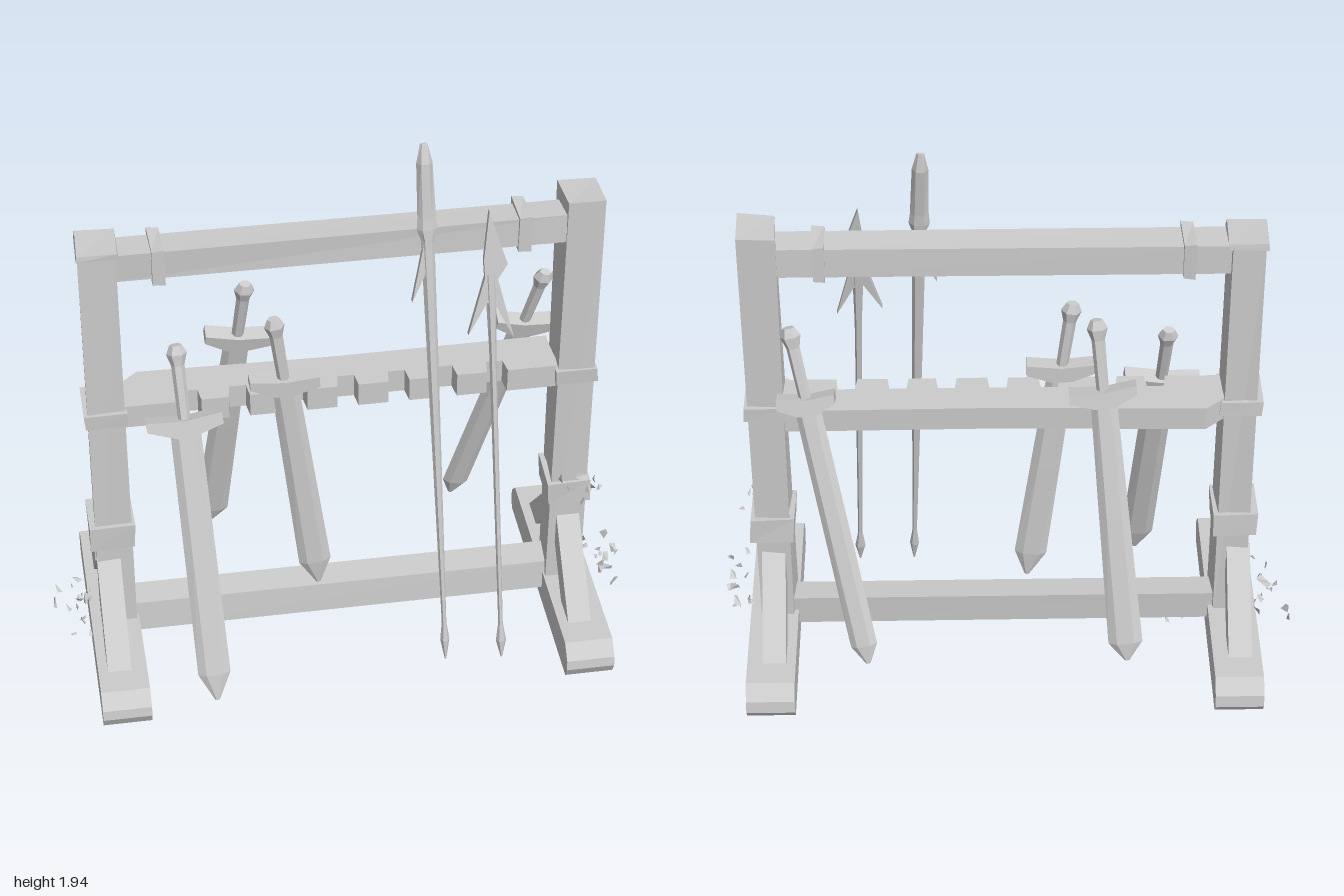
import * as THREE from 'three';

const grey = new THREE.MeshStandardMaterial({ color: 0xcccccc, flatShading: true, side: THREE.DoubleSide });

// Small seeded generator
let seed = 7;
const rand = () => (seed = (seed * 16807) % 2147483647) / 2147483647;
const range = (a, b) => a + (b - a) * rand();

function mesh(parent, name, geometry) {
  const m = new THREE.Mesh(geometry, grey);
  m.name = name;
  parent.add(m);
  return m;
}

// Hand-hewn timber: a box given by its extents, corners nudged slightly
function timber(parent, name, [x0, x1], [y0, y1], [z0, z1], rough = 0.005) {
  const g = new THREE.BoxGeometry(x1 - x0, y1 - y0, z1 - z0);
  g.translate((x0 + x1) / 2, (y0 + y1) / 2, (z0 + z1) / 2);
  const p = g.attributes.position;
  for (let i = 0; i < p.count; i++) {
    const x = p.getX(i), y = p.getY(i), z = p.getZ(i);
    const n = (k) => rough * Math.sin(k * (37 * x + 53 * y + 71 * z));
    p.setXYZ(i, x + n(1), Math.max(0, y + n(2.3)), z + n(3.7));
  }
  return mesh(parent, name, g);
}

// Flat outline with thickness, centred on its depth
function slab(points, depth) {
  const shape = new THREE.Shape(points.map(([x, y]) => new THREE.Vector2(x, y)));
  return new THREE.ExtrudeGeometry(shape, { depth, bevelEnabled: false }).translate(0, 0, -depth / 2);
}

// Six-sided loft along y; stations are [y, halfWidth, halfDepth, xShift]
function loft(stations) {
  const ring = [[1, 0], [0.5, 1], [-0.5, 1], [-1, 0], [-0.5, -1], [0.5, -1]];
  const pos = [], idx = [], n = ring.length, last = (stations.length - 1) * n;
  for (const [y, w, d, dx = 0] of stations)
    for (const [x, z] of ring) pos.push(dx + x * w, y, z * d);
  for (let i = 0; i < last; i += n)
    for (let j = 0; j < n; j++) {
      const a = i + j, b = i + (j + 1) % n;
      idx.push(a, a + n, b, b, a + n, b + n);
    }
  for (let j = 1; j < n - 1; j++) idx.push(0, j, j + 1, last, last + j + 1, last + j);
  const g = new THREE.BufferGeometry();
  g.setAttribute('position', new THREE.Float32BufferAttribute(pos, 3));
  g.setIndex(idx);
  g.computeVertexNormals();
  return g;
}

// Group whose local y runs from tip to top, flat side towards the front
function leaning(parent, name, top, tip) {
  const t = new THREE.Vector3(...top), o = new THREE.Vector3(...tip);
  const y = t.clone().sub(o).normalize();
  const x = y.clone().cross(new THREE.Vector3(0, 0, 1)).normalize();
  const g = new THREE.Group();
  g.quaternion.setFromRotationMatrix(new THREE.Matrix4().makeBasis(x, y, x.clone().cross(y)));
  g.position.copy(o);
  g.name = name;
  parent.add(g);
  return [g, t.distanceTo(o)];
}

function sword(parent, name, top, tip, { w0, w1, guard = 0.22, hilt = 0.27, tilt = 0, point = 0.1 }) {
  const [g, L] = leaning(parent, name, top, tip);
  const h = L - hilt;
  mesh(g, 'blade', loft([[0, 0.008, 0.004], [point, w1 / 2, 0.016], [h * 0.55, (w0 + w1) / 4, 0.018], [h, w0 / 2, 0.018]]));
  mesh(g, 'grip', loft([[h, 0.02, 0.014], [L - 0.07, 0.022, 0.016], [L - 0.03, 0.034, 0.024], [L, 0.02, 0.014]]));
  const bar = mesh(g, 'guard', slab([[-guard / 2, 0.005], [-guard / 2, 0.038], [0, 0.022], [guard / 2, 0.03],
    [guard / 2, -0.01], [0.03, -0.035], [-0.03, -0.035]], 0.055));
  bar.position.y = h;
  bar.rotation.z = tilt;
}

function shards(parent, name, count, [x0, x1], [y0, y1], [z0, z1]) {
  for (let i = 0; i < count; i++) {
    const s = mesh(parent, name, new THREE.TetrahedronGeometry(range(0.012, 0.026)));
    s.scale.set(1.3, 0.8, 0.3);
    s.rotation.set(range(0, 6), range(0, 6), range(0, 6));
    s.position.set(range(x0, x1), range(y0, y1), range(z0, z1));
  }
}

export function createModel() {
  const rack = new THREE.Group();
  rack.name = 'weaponRack';

  // Feet, posts, bands and braces on each side
  const sides = [
    { post: [-0.825, -0.71], foot: -0.78, top: 1.64, low: [-0.845, -0.695] },
    { post: [0.735, 0.855], foot: 0.807, top: 1.69, low: [0.722, 0.872] },
  ];
  for (const { post, foot, top, low } of sides) {
    const end = new THREE.Group();
    end.name = 'endFrame';
    rack.add(end);
    const f = mesh(end, 'foot', slab([[-0.45, 0], [0.45, 0], [0.47, 0.04], [0.465, 0.075], [0.42, 0.122],
      [-0.42, 0.122], [-0.465, 0.075], [-0.47, 0.03]], 0.165));
    f.rotation.y = -Math.PI / 2;
    f.position.x = foot;
    timber(end, 'post', post, [0.08, top], [-0.07, 0.07]);
    timber(end, 'lowerBand', low, [0.46, 0.55], [-0.083, 0.083]);
    timber(end, 'upperBand', [low[0] + 0.005, low[1] - 0.005], [0.975, 1.03], [-0.08, 0.08], 0.003);
    for (const s of [1, -1]) {
      const b = mesh(end, 'brace', slab([[0.06 * s, 0.41], [0.06 * s, 0.29], [0.215 * s, 0.115], [0.33 * s, 0.115]], 0.08));
      b.rotation.y = -Math.PI / 2;
      b.position.x = foot - 0.01;
    }
  }
  timber(rack, 'postCap', [-0.83, -0.7], [1.63, 1.657], [-0.075, 0.075], 0.004);

  // Rails
  timber(rack, 'topRail', [-0.73, 0.75], [1.53, 1.632], [-0.05, 0.052]);
  for (const x of [-0.578, 0.6])
    timber(rack, 'railBand', [x - 0.02, x + 0.02], [1.518, 1.648], [-0.066, 0.068], 0.003);
  timber(rack, 'bottomRail', [-0.72, 0.75], [0.06, 0.172], [-0.05, 0.05]);

  // Notched shelf: plan outline in x and z, laid flat
  const plan = [[0.73, -0.11], [0, -0.105], [-0.65, -0.122], [-0.72, -0.06], [-0.72, 0.06]];
  for (const x of [-0.49, -0.33, -0.14, 0.03, 0.2, 0.36, 0.53])
    plan.push([x - 0.035, 0.06], [x - 0.028, 0.005], [x + 0.028, 0.005], [x + 0.035, 0.06]);
  plan.push([0.73, 0.06]);
  const shelf = mesh(rack, 'notchedShelf', slab(plan, 0.085));
  shelf.rotation.x = Math.PI / 2;
  shelf.position.y = 0.997;

  // Swords leaning on the front and back
  sword(rack, 'frontLeaningSword', [-0.53, 1.25, 0.03], [-0.47, 0.015, 0.4], { w0: 0.1, w1: 0.11, guard: 0.25, hilt: 0.28, tilt: 0.06 });
  sword(rack, 'frontUprightSword', [-0.215, 1.34, 0.06], [-0.07, 0.19, 0.05], { w0: 0.09, w1: 0.11, guard: 0.23, tilt: -0.1 });
  sword(rack, 'backSword', [-0.285, 1.38, -0.09], [-0.4, 0.16, -0.37], { w0: 0.085, w1: 0.115, guard: 0.22, point: 0.07 });
  sword(rack, 'backCornerSword', [0.705, 1.34, -0.06], [0.475, 0.17, -0.38], { w0: 0.085, w1: 0.09, guard: 0.19, tilt: 0.12, point: 0.07 });

  // Long spear with a leaf head and one side barb
  const [spear] = leaning(rack, 'longSpear', [0.27, 1.94, 0.03], [0.328, 0.03, 0.335]);
  mesh(spear, 'shaft', loft([[0, 0.003, 0.003], [0.08, 0.016, 0.014], [0.15, 0.008, 0.008], [1, 0.017, 0.013], [1.6, 0.022, 0.014]]));
  mesh(spear, 'head', loft([[1.57, 0.012, 0.014], [1.64, 0.034, 0.016], [1.68, 0.03, 0.014], [1.87, 0.026, 0.02], [1.935, 0.012, 0.004]]));
  mesh(spear, 'barb', slab([[-0.005, 1.63], [-0.06, 1.39], [-0.015, 1.48], [0.01, 1.5]], 0.02));

  // Barbed spear
  const [barbed] = leaning(rack, 'barbedSpear', [0.475, 1.7, 0.08], [0.522, 0.02, 0.345]);
  mesh(barbed, 'shaft', loft([[0, 0.003, 0.003], [0.07, 0.018, 0.014], [0.14, 0.008, 0.008], [1.2, 0.012, 0.012], [1.48, 0.02, 0.014]]));
  mesh(barbed, 'head', slab([[0, 1.7], [-0.022, 1.53], [-0.02, 1.47], [-0.08, 1.27], [-0.015, 1.38], [0.015, 1.36],
    [0.07, 1.24], [0.022, 1.46], [0.055, 1.51]], 0.02));

  // Splinters around the posts
  shards(rack, 'splinter', 17, [-0.98, -0.85], [0.04, 0.26], [-0.1, 0.09]);
  shards(rack, 'splinter', 15, [0.87, 0.98], [0.06, 0.26], [-0.06, 0.11]);
  shards(rack, 'splinter', 10, [0.74, 0.92], [0.38, 0.6], [0.05, 0.11]);
  shards(rack, 'splinter', 3, [-0.63, -0.55], [0.025, 0.05], [-0.03, 0.04]);
  return rack;
}
